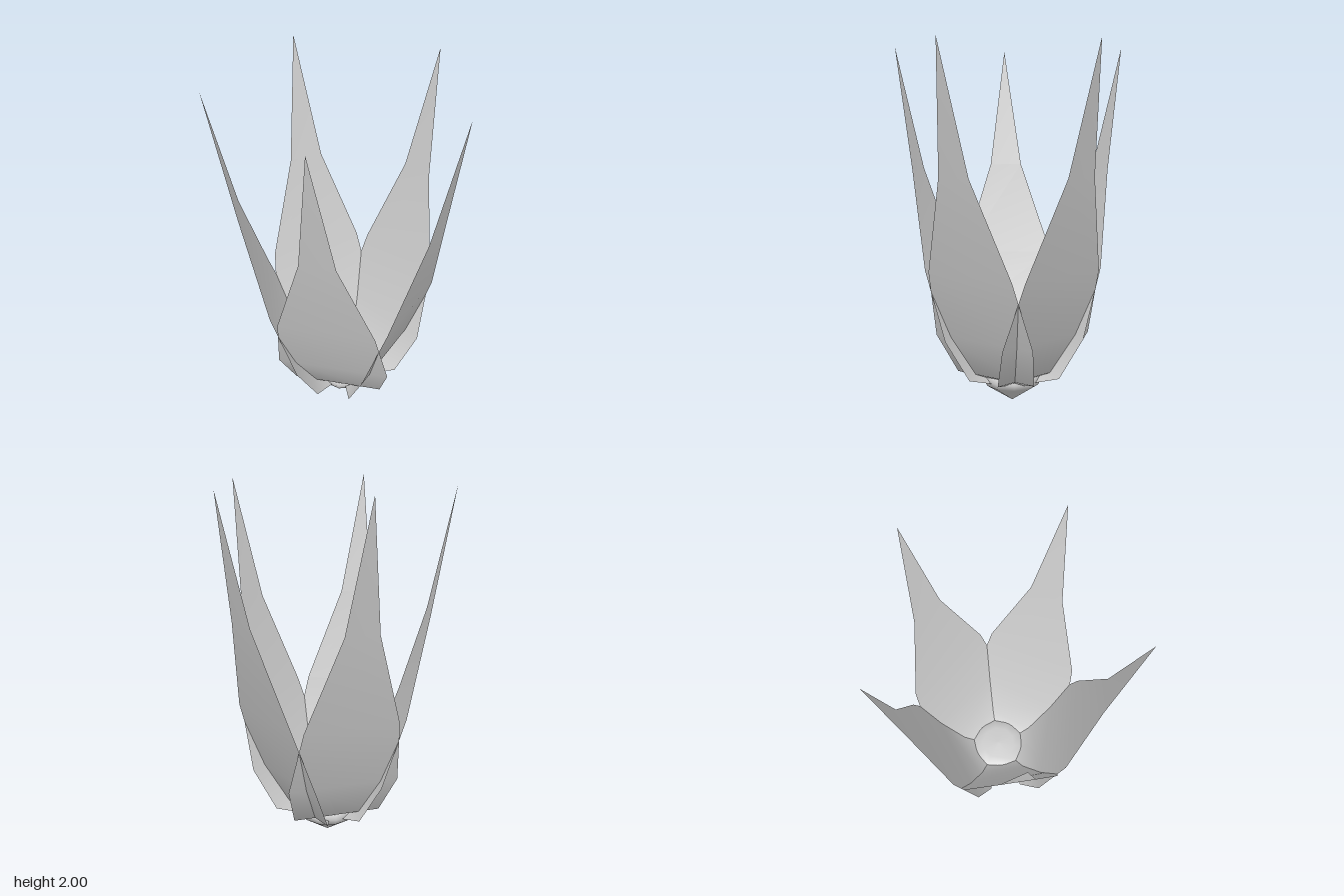
import * as THREE from 'three';

// Petal rows from base to tip: radius from the axis, height, half width
const ROWS = [
  [0.06, 0.12, 0.10],
  [0.178, 0.18, 0.25],
  [0.293, 0.41, 0.312],
  [0.42, 0.79, 0.263],
  [0.546, 1.315, 0.093],
  [0.673, 2.0, 0],
];

// One petal: flat across its width, curved along its length, pointing to +x
function petalGeometry() {
  const positions = [];
  const index = [];
  ROWS.forEach(([r, y, w], i) => {
    positions.push(r, y, w, r, y, -w);
    if (i === 0) return;
    const a = (i - 1) * 2;
    index.push(a, a + 1, a + 2);
    if (w > 0) index.push(a + 1, a + 3, a + 2);
  });
  // The two tip vertices coincide, so the last row is a single triangle
  const geometry = new THREE.BufferGeometry();
  geometry.setAttribute('position', new THREE.Float32BufferAttribute(positions, 3));
  geometry.setIndex(index);
  geometry.computeVertexNormals();
  // The spare tip vertex belongs to no face; share its neighbour's normal
  const n = geometry.attributes.normal;
  const last = n.count - 1;
  n.setXYZ(last, n.getX(last - 1), n.getY(last - 1), n.getZ(last - 1));
  return geometry;
}

export function createModel() {
  const model = new THREE.Group();
  model.name = 'flower';

  const grey = new THREE.MeshStandardMaterial({ color: 0xcccccc, side: THREE.DoubleSide });
  grey.name = 'light grey';

  // The flower axis sits off centre because five petals are not symmetric in x
  const flower = new THREE.Group();
  flower.name = 'blossom';
  flower.position.x = -0.068;
  model.add(flower);

  // Five petals around the axis
  const geometry = petalGeometry();
  for (let i = 0; i < 5; i++) {
    const petal = new THREE.Mesh(geometry, grey);
    petal.name = 'petal' + (i + 1);
    petal.rotation.y = (i * Math.PI * 2) / 5;
    flower.add(petal);
  }

  // Bulb: pointed below, softly domed above
  const profile = [
    [0, 0.004], [0.152, 0.105], [0.168, 0.138], [0.153, 0.163], [0.1, 0.176], [0, 0.182],
  ].map(([r, y]) => new THREE.Vector2(r, y));
  const bulb = new THREE.Mesh(new THREE.LatheGeometry(profile, 10), grey);
  bulb.name = 'bulb';
  bulb.rotation.y = Math.PI / 10;
  flower.add(bulb);

  return model;
}
